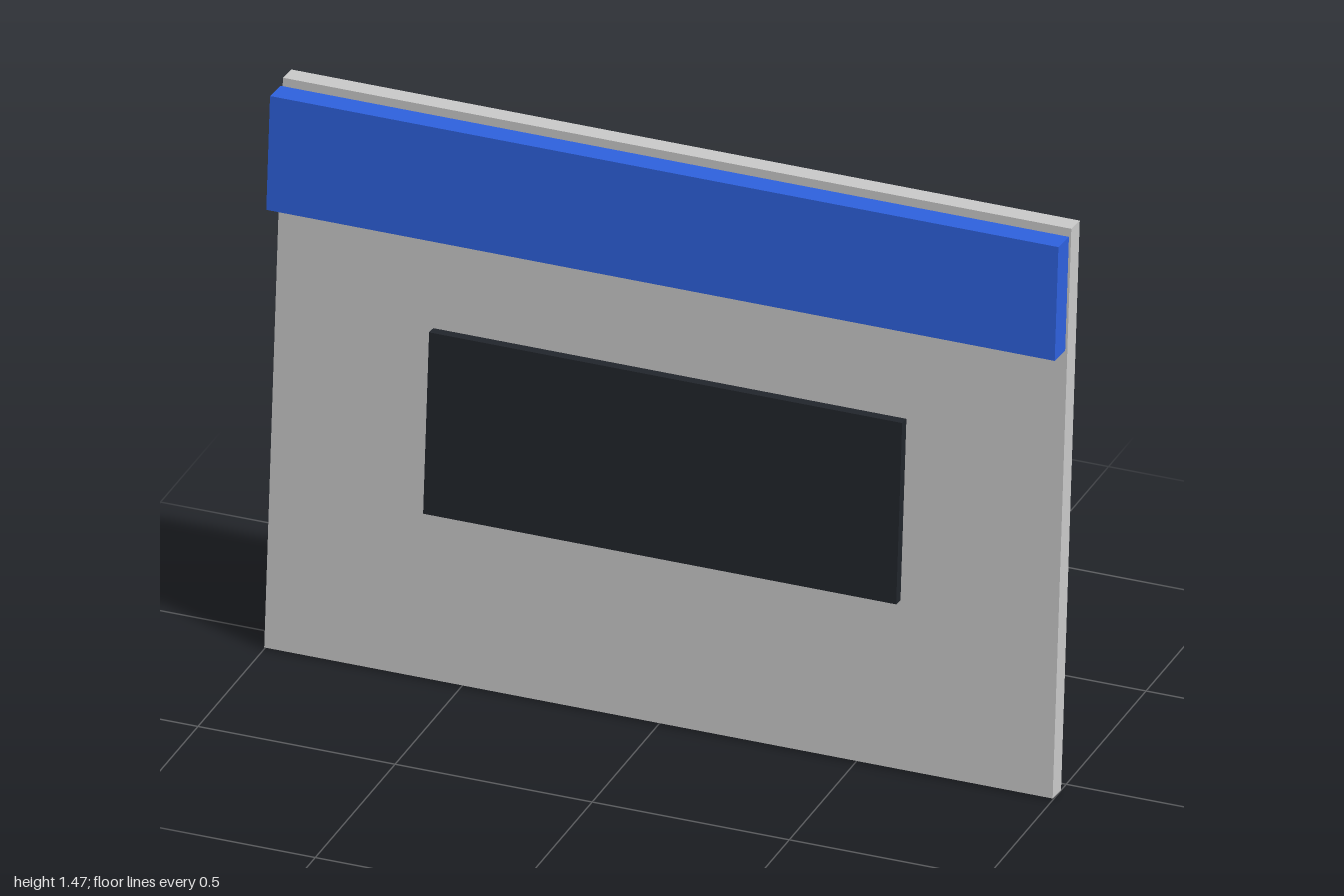
import * as THREE from 'three';

const LEAN = 0.08; // backward tilt in radians

function slab(name, size, y, z, color) {
  const mesh = new THREE.Mesh(
    new THREE.BoxGeometry(...size),
    new THREE.MeshStandardMaterial({ color })
  );
  mesh.name = name;
  mesh.position.set(0, y, z);
  return mesh;
}

export function createModel() {
  const model = new THREE.Group();
  model.name = 'leaningPanel';

  // All parts share the backward lean of the board
  const board = new THREE.Group();
  board.name = 'board';
  board.position.y = 0.733;
  board.rotation.x = -LEAN;

  board.add(
    slab('backPanel', [2, 1.467, 0.053], 0, 0, 0xcccccc),
    // Header strip stands slightly clear of the panel
    slab('headerStrip', [2, 0.293, 0.066], 0.572, 0.0735, 0x2f62e0),
    // Dark plate sits flush on the panel face
    slab('darkPlate', [1.2, 0.467, 0.027], -0.067, 0.04, 0x22262c)
  );

  model.add(board);
  return model;
}
